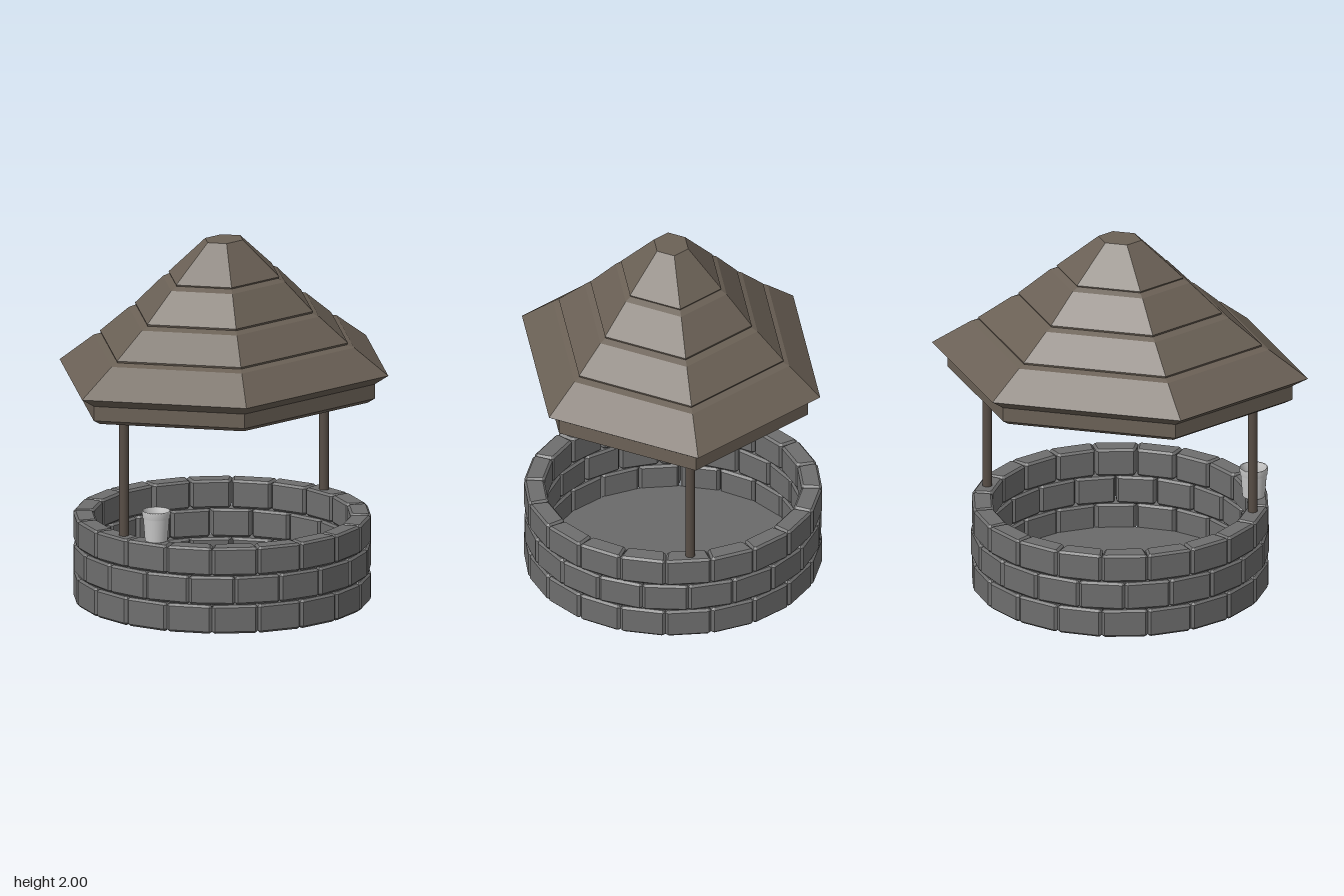
import * as THREE from 'three';

const mat = (color, opts = {}) => new THREE.MeshStandardMaterial({ color, ...opts });
const WOOD = mat(0x6b6156, { flatShading: true });
const POST = mat(0x574d45);
const STONE = mat(0x6e6e6e, { flatShading: true });
const FLOOR = mat(0x6a6a6a);
const METAL = mat(0xcccccc, { side: THREE.DoubleSide });

function mesh(name, geometry, material, parent) {
  const m = new THREE.Mesh(geometry, material);
  m.name = name;
  parent.add(m);
  return m;
}

// One chamfered wedge stone; its arc is centred on +x, its height runs along y from 0
function stoneGeometry(inner, outer, count, height) {
  const bevel = 0.012, gap = 0.001;
  const t = Math.tan(Math.PI / count);
  const r0 = inner + bevel, r1 = outer * Math.cos(Math.PI / count) - bevel;
  const w0 = inner * t - gap - bevel, w1 = r1 * t - gap - bevel;
  const c = 0.006;
  const shape = new THREE.Shape([
    [r0 + c, -w0], [r1 - c, -w1], [r1, -w1 + c], [r1, w1 - c],
    [r1 - c, w1], [r0 + c, w0], [r0, w0 - c], [r0, -w0 + c],
  ].map(([x, y]) => new THREE.Vector2(x, y)));
  const g = new THREE.ExtrudeGeometry(shape, {
    depth: height - 2 * bevel, bevelEnabled: true, bevelSegments: 1,
    bevelSize: bevel, bevelThickness: bevel,
  });
  g.translate(0, 0, bevel);
  return g.rotateX(-Math.PI / 2);
}

// Six-sided shell from a [half width, height] profile, one hip along +x
function hexShell(profile) {
  const points = profile.map(([x, y]) => new THREE.Vector2(x / 0.875, y));
  return new THREE.LatheGeometry(points, 6, Math.PI / 2);
}

export function createModel() {
  const model = new THREE.Group();
  model.name = 'well';

  // Stone ring: three staggered courses
  const wall = new THREE.Group();
  wall.name = 'stoneWall';
  wall.position.set(-0.008, 0, -0.008);
  model.add(wall);
  const count = 20, step = (2 * Math.PI) / count;
  const stone = stoneGeometry(0.685, 0.806, count, 0.157);
  for (let row = 0; row < 3; row++) {
    for (let i = 0; i < count; i++) {
      const s = mesh('stone', stone, STONE, wall);
      s.position.y = 0.004 + row * 0.16;
      s.rotation.y = (i + (row % 2 ? 0 : 0.5)) * step;
    }
  }

  // Floor of the shaft
  const floor = mesh('floor', new THREE.CylinderGeometry(0.695, 0.695, 0.012, 40), FLOOR, wall);
  floor.position.y = 0.022;

  // Canopy, turned about the vertical axis together with its posts
  const canopy = new THREE.Group();
  canopy.name = 'canopy';
  canopy.rotation.y = 0.506;
  model.add(canopy);

  for (const side of [1, -1]) {
    const post = mesh('post', new THREE.CylinderGeometry(0.027, 0.027, 0.8, 16), POST, canopy);
    post.position.set(side * 0.738, 0.83, 0);
  }

  const roof = new THREE.Group();
  roof.name = 'roof';
  roof.scale.z = 0.815;
  canopy.add(roof);

  // Eaves: ceiling, fascia beam, overhang and lowest slope
  mesh('eaves', hexShell([
    [0, 1.215], [0.73, 1.215], [0.73, 1.145], [0.745, 1.13], [0.80, 1.13], [0.84, 1.155],
    [0.84, 1.235], [0.915, 1.285], [0.725, 1.432], [0.6, 1.47],
  ]), WOOD, roof);

  // Overlapping upper tiers: lip underside, slope, shallow shoulder
  const tiers = [
    [[0.6, 1.447], [0.687, 1.447], [0.69, 1.457], [0.53, 1.595], [0.42, 1.64]],
    [[0.42, 1.612], [0.492, 1.612], [0.495, 1.622], [0.34, 1.778], [0.25, 1.82]],
    [[0.24, 1.797], [0.305, 1.797], [0.308, 1.805], [0.105, 2.0], [0, 2.0]],
  ];
  for (const profile of tiers) mesh('roofTier', hexShell(profile), WOOD, roof);

  // Bucket standing on the wall
  const bucket = mesh('bucket', new THREE.LatheGeometry([
    [0, 0], [0.056, 0], [0.061, 0.005], [0.070, 0.125], [0.074, 0.13], [0.078, 0.165],
    [0.076, 0.17], [0.071, 0.168], [0.064, 0.125], [0.055, 0.012], [0, 0.012],
  ].map(([x, y]) => new THREE.Vector2(x, y)), 32), METAL, model);
  bucket.position.set(-0.505, 0.48, 0.515);

  return model;
}
